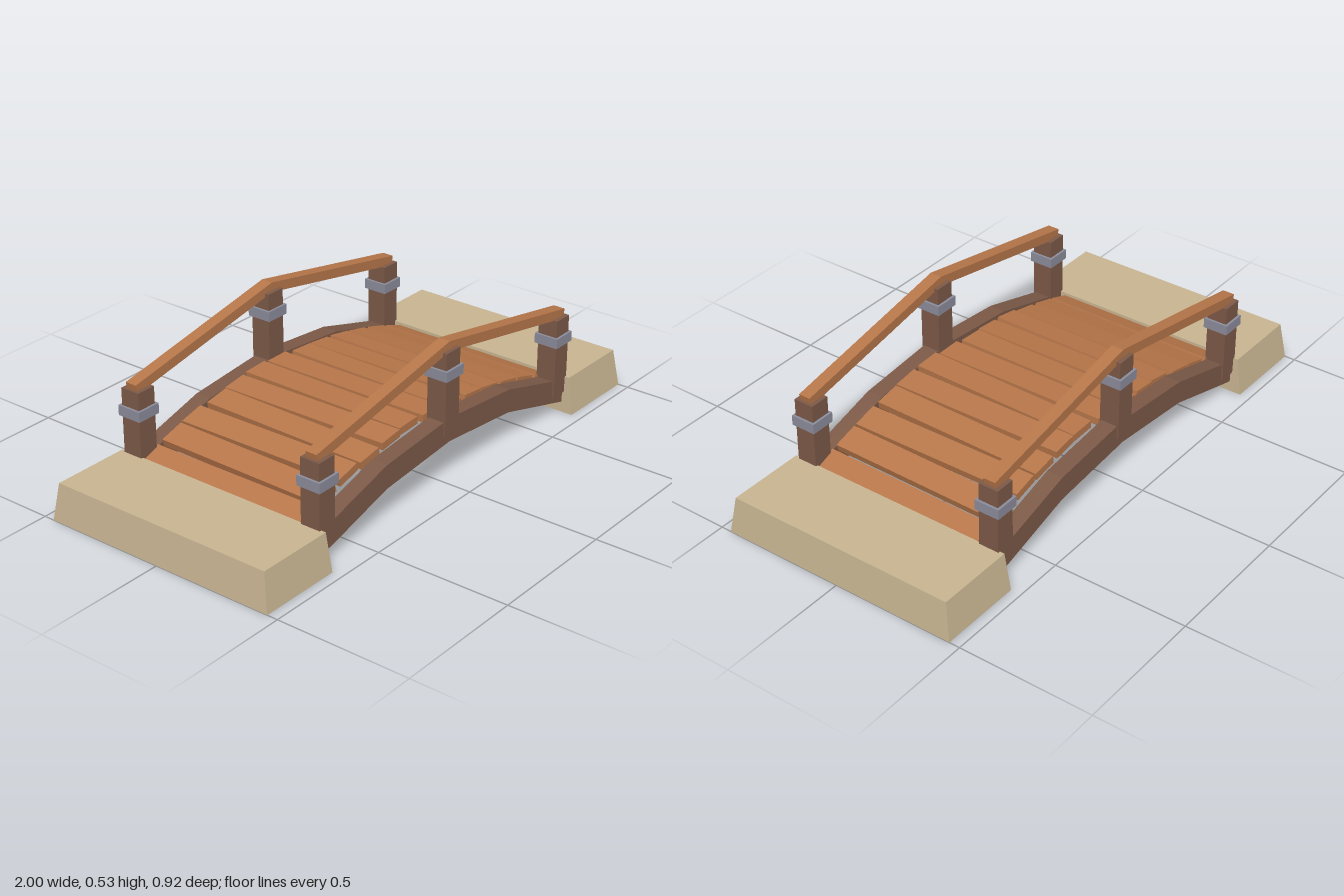
import * as THREE from 'three';

const SIDE_Z = 0.382;                                   // centre line of posts, beams and rails
const deckY = (x) => 0.255 - 0.268 * x * x;             // top of the arched deck
const slope = (x) => Math.atan(-0.536 * x);

function material(name, color) {
  const m = new THREE.MeshStandardMaterial({ color });
  m.name = name;
  return m;
}

export function createModel() {
  const stone = material('stone', 0xc9b592);
  const wood = material('plankWood', 0xb8774a);
  const darkWood = material('darkWood', 0x7d5a48);
  const metal = material('metal', 0x8c8d9c);

  const model = new THREE.Group();
  model.name = 'footbridge';

  function add(parent, name, geometry, mat, x = 0, y = 0, z = 0) {
    const mesh = new THREE.Mesh(geometry, mat);
    mesh.name = name;
    mesh.position.set(x, y, z);
    parent.add(mesh);
    return mesh;
  }

  // Side profile drawn in x/y, extruded evenly around z = 0
  function slab(points, depth) {
    const shape = new THREE.Shape(points.map(([x, y]) => new THREE.Vector2(x, y)));
    const g = new THREE.ExtrudeGeometry(shape, { depth, bevelEnabled: false });
    return g.translate(0, 0, -depth / 2);
  }

  // Stone abutments, narrower at the top
  for (const s of [-1, 1]) {
    const g = new THREE.BoxGeometry(0.315, 0.14, 0.92);
    const p = g.attributes.position;
    for (let i = 0; i < p.count; i++) {
      if (p.getY(i) < 0) continue;
      const outer = p.getX(i) * s > 0;
      p.setX(i, p.getX(i) - s * (outer ? 0.015 : -0.005));
      p.setZ(i, p.getZ(i) * 0.953);
    }
    g.computeVertexNormals();
    add(model, s < 0 ? 'rightAbutment' : 'leftAbutment', g, stone, s * 0.8425, 0.07, 0);
  }

  // Deck planks, laid slightly unevenly along the arch: [z shift, yaw]
  const lay = [
    [-0.012, 0.005], [-0.013, -0.012], [-0.015, 0.012], [-0.005, -0.016], [-0.01, 0.016],
    [-0.015, -0.006], [-0.005, 0.008], [0.01, -0.018], [0.01, 0.012], [0.008, -0.012],
    [0.01, 0.012], [0.01, -0.01], [0.012, -0.008],
  ];
  const deck = new THREE.Group();
  deck.name = 'deck';
  model.add(deck);
  lay.forEach(([dz, yaw], i) => {
    const x = (i - 6) * 0.1083;
    const plank = add(deck, 'plank', new THREE.BoxGeometry(0.096, 0.028, 0.675), wood, x, deckY(x) - 0.014, dz);
    plank.rotation.set(0, yaw, slope(x), 'ZYX');
  });

  // Each side: arched beam, three banded posts and two sloping rails
  const knots = [-0.69, -0.345, 0, 0.345, 0.69];
  const beamOutline = [
    ...knots.map((x) => [x, deckY(x) - 0.09]),
    ...knots.map((x) => [x, deckY(x) - 0.002]).reverse(),
  ];
  for (const s of [-1, 1]) {
    const side = new THREE.Group();
    side.name = s > 0 ? 'frontSide' : 'backSide';
    side.position.z = s * SIDE_Z;
    model.add(side);

    add(side, 'archBeam', slab(beamOutline, 0.062), darkWood);

    // x, bottom, top and band height of each post
    for (const [x, y0, y1, band] of [[-0.66, 0.08, 0.38, 0.298], [0, 0.2, 0.503, 0.423], [0.66, 0.08, 0.38, 0.298]]) {
      add(side, 'post', new THREE.BoxGeometry(0.076, y1 - y0, 0.076), darkWood, x, (y0 + y1) / 2);
      add(side, 'postBand', new THREE.BoxGeometry(0.094, 0.037, 0.094), metal, x, band);
    }

    for (const d of [-1, 1]) {
      const length = Math.hypot(0.692, 0.13);
      const rail = add(side, 'handrail', new THREE.BoxGeometry(length, 0.036, 0.045), wood, d * 0.342, 0.45);
      rail.rotation.z = -d * Math.atan2(0.13, 0.692);
    }
  }

  return model;
}
